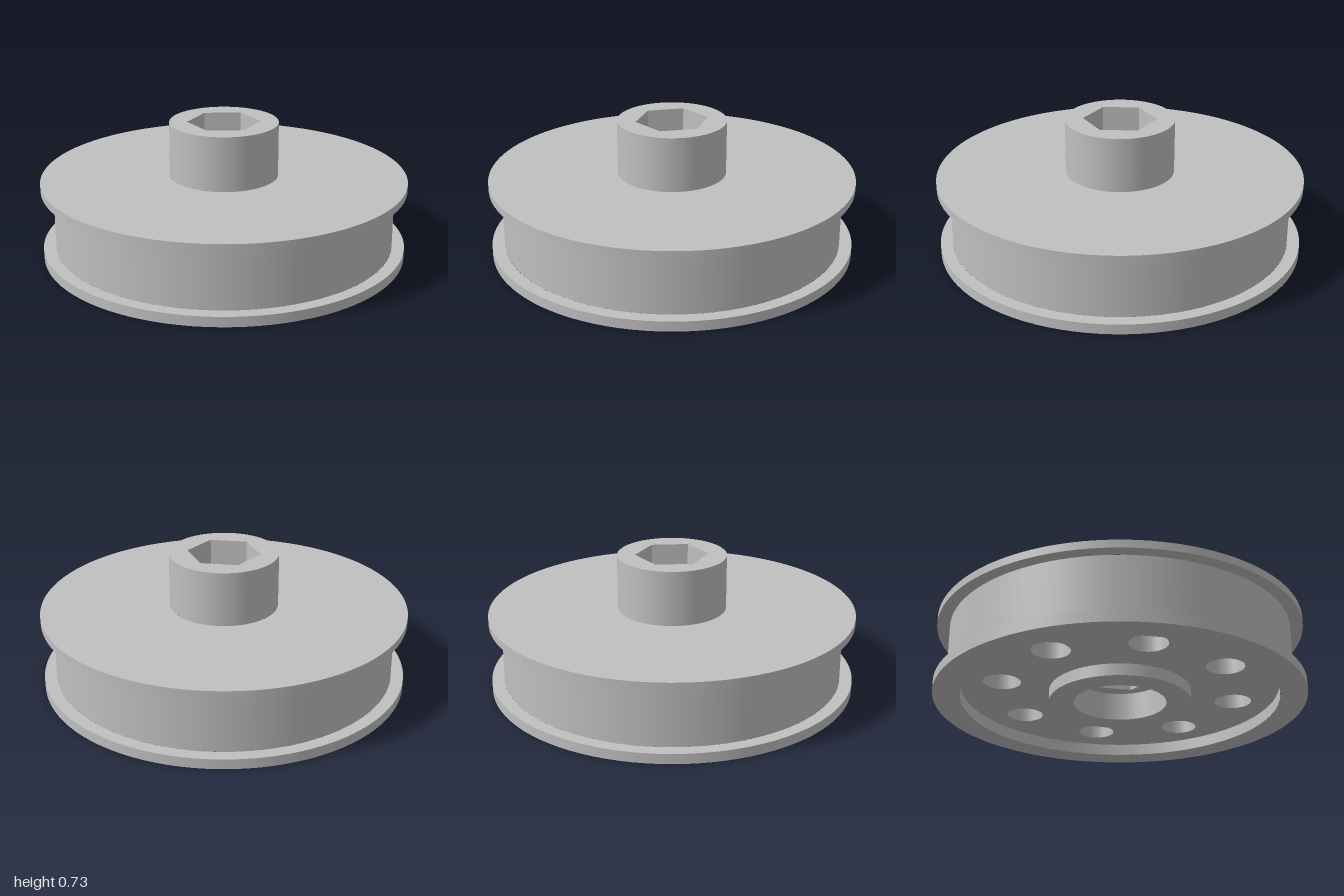
import * as THREE from 'three';

const SEG = 96;
const HUB_R = 0.297, DRUM_R = 0.932, RECESS_R = 0.855, COLLAR_R = 0.383, BORE_R = 0.25, HEX_R = 0.2;
const FLOOR_Y = 0.065, POCKET_Y = 0.155, TOP_Y = 0.428, HUB_Y = 0.728;

export function createModel() {
  const group = new THREE.Group();
  const grey = new THREE.MeshStandardMaterial({ color: 0xc0c0c0 });
  grey.name = 'plain grey';

  const add = (name, geometry) => {
    const mesh = new THREE.Mesh(geometry, grey);
    mesh.name = name;
    group.add(mesh);
    return mesh;
  };

  // Upright wall: rising y faces outward, falling y faces inward
  const wall = (name, r, y0, y1, sides = SEG) => {
    let g = new THREE.LatheGeometry([new THREE.Vector2(r, y0), new THREE.Vector2(r, y1)], sides);
    if (sides < 12) {
      g = g.toNonIndexed();
      g.computeVertexNormals();
    }
    return add(name, g);
  };

  const circle = (r, x = 0, y = 0) => new THREE.Path().absarc(x, y, r, 0, Math.PI * 2);
  const hexagon = () => new THREE.Path(Array.from({ length: 6 }, (_, i) =>
    new THREE.Vector2(HEX_R * Math.sin(i * Math.PI / 3), HEX_R * Math.cos(i * Math.PI / 3))));

  // Flat face with holes, looking up (1) or down (-1)
  const face = (name, r, y, dir, holes = []) => {
    const shape = new THREE.Shape();
    shape.absarc(0, 0, r, 0, Math.PI * 2);
    shape.holes = holes;
    const g = new THREE.ShapeGeometry(shape, SEG);
    g.rotateX(-dir * Math.PI / 2);
    g.translate(0, y, 0);
    return add(name, g);
  };

  // Flanges and drum
  wall('lowerFlangeEdge', 1, 0, 0.055);
  face('lowerFlangeTop', 1, 0.055, 1, [circle(DRUM_R)]);
  wall('drum', DRUM_R, 0.055, 0.385);
  face('upperFlangeUnderside', 1, 0.385, -1, [circle(DRUM_R)]);
  wall('upperFlangeEdge', 1, 0.385, TOP_Y);
  face('upperFlangeTop', 1, TOP_Y, 1, [circle(HUB_R)]);

  // Hub with hexagonal socket
  wall('hub', HUB_R, TOP_Y, HUB_Y);
  face('hubTop', HUB_R, HUB_Y, 1, [hexagon()]);
  wall('hexSocket', HEX_R, HUB_Y, POCKET_Y, 6);

  // Underside recess, collar and round bore
  face('lowerRim', 1, 0, -1, [circle(RECESS_R)]);
  wall('recessWall', RECESS_R, FLOOR_Y, 0);
  wall('collar', COLLAR_R, 0, FLOOR_Y);
  face('collarFace', COLLAR_R, 0, -1, [circle(BORE_R)]);
  wall('boreWall', BORE_R, POCKET_Y, 0);
  face('boreSeat', BORE_R, POCKET_Y, -1, [hexagon()]);

  // Ring of eight blind holes in the recess floor
  const holes = [circle(COLLAR_R)];
  for (let i = 0; i < 8; i++) {
    const a = i * Math.PI / 4;
    const x = 0.64 * Math.cos(a), z = 0.64 * Math.sin(a);
    holes.push(circle(0.1, x, z));
    wall('blindHoleWall', 0.1, POCKET_Y, FLOOR_Y).position.set(x, 0, z);
    face('blindHoleEnd', 0.1, POCKET_Y, -1).position.set(x, 0, z);
  }
  face('recessFloor', RECESS_R, FLOOR_Y, -1, holes);

  return group;
}
